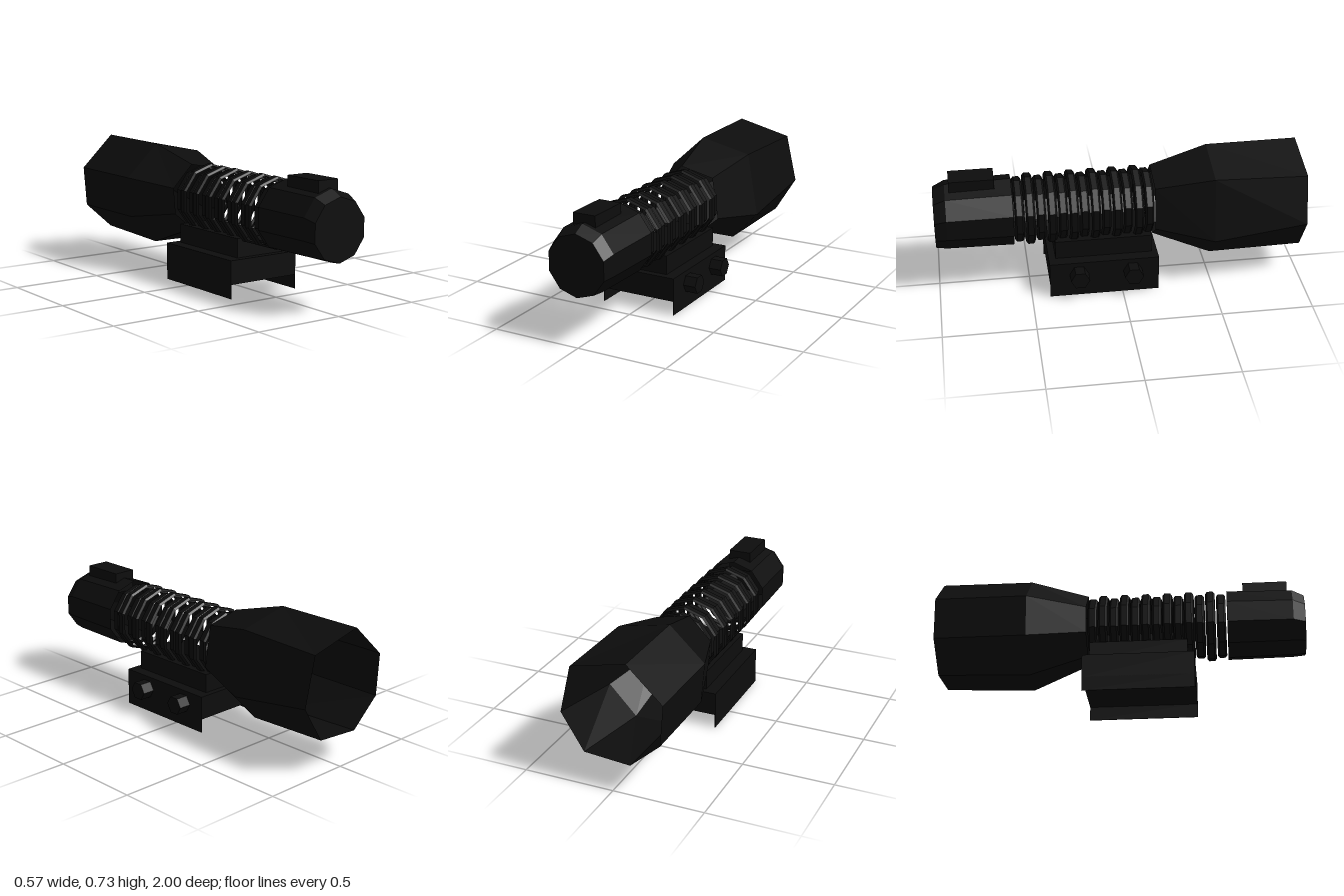
import * as THREE from 'three';

const black = new THREE.MeshStandardMaterial({ color: 0x0d0d0d, flatShading: true, side: THREE.DoubleSide });
black.name = 'black';

// Regular cross-section in the xy plane
function ring(radius, cy, z, sides = 10, turn = Math.PI / 2) {
  return Array.from({ length: sides }, (_, i) => {
    const a = turn + (i / sides) * Math.PI * 2;
    return [Math.cos(a) * radius, cy + Math.sin(a) * radius, z];
  });
}

// Join successive cross-sections (front to back), optionally closing the first
function loft(rings, capFront = false) {
  const n = rings[0].length;
  const index = [];
  for (let r = 0; r < rings.length - 1; r++) {
    for (let i = 0; i < n; i++) {
      const a = r * n + i, b = r * n + (i + 1) % n;
      index.push(a, a + n, b, b, a + n, b + n);
    }
  }
  if (capFront) for (let i = 1; i < n - 1; i++) index.push(0, i, i + 1);
  const g = new THREE.BufferGeometry();
  g.setAttribute('position', new THREE.Float32BufferAttribute(rings.flat(2), 3));
  g.setIndex(index);
  g.computeVertexNormals();
  return g;
}

export function createModel() {
  const model = new THREE.Group();
  model.name = 'weaponLight';

  const add = (name, geometry, x = 0, y = 0, z = 0) => {
    const m = new THREE.Mesh(geometry, black);
    m.name = name;
    m.position.set(x, y, z);
    model.add(m);
    return m;
  };
  // Box given by its limits
  const box = (name, x0, x1, y0, y1, z0, z1) =>
    add(name, new THREE.BoxGeometry(x1 - x0, y1 - y0, z1 - z0),
      (x0 + x1) / 2, (y0 + y1) / 2, (z0 + z1) / 2);

  // Closed end cap with a bevelled nose
  add('endCap', loft([
    ring(0.167, 0.435, 1), ring(0.186, 0.449, 0.935), ring(0.192, 0.451, 0.58),
  ], true));
  box('switchButton', -0.068, 0.06, 0.56, 0.677, 0.67, 0.912);

  // Ribbed grip: alternating wide and narrow bands with thin gaps
  const pitch = 0.0585;
  for (let i = 0; i < 13; i++) {
    const z0 = 0.573 - i * pitch, z1 = z0 - pitch + 0.008;
    const wide = i % 2 === 1;
    const r = wide ? 0.195 : 0.178;
    add('gripBand', loft([
      ring(r - 0.012, 0.45, z0), ring(r, 0.45, z0 - 0.01),
      ring(r, 0.45, z1 + 0.01), ring(r - 0.012, 0.45, z1),
    ]));
  }

  // Open seven-sided bell
  const middle = [[0.2, 0.66], [-0.09, 0.722], [-0.285, 0.54], [-0.265, 0.315], [-0.1, 0.152], [0.11, 0.15], [0.262, 0.31]];
  const rim = [[0.217, 0.655], [-0.088, 0.726], [-0.282, 0.542], [-0.264, 0.316], [-0.1, 0.17], [0.155, 0.19], [0.279, 0.39]];
  const neck = middle.map(([x, y]) => {
    const a = Math.atan2(y - 0.45, x);
    return [Math.cos(a) * 0.192, 0.452 + Math.sin(a) * 0.192, -0.185];
  });
  add('bell', loft([neck, middle.map(p => [...p, -0.5]), rim.map(p => [...p, -1])]));

  // Rail mount: riser, clamp plate and thin side skirts
  box('mountRiser', -0.152, 0.148, 0.2, 0.31, -0.168, 0.362);
  box('clampPlate', -0.22, 0.211, 0.077, 0.206, -0.2, 0.4);
  box('rightSkirt', -0.22, -0.216, 0, 0.08, -0.2, 0.4);
  box('leftSkirt', 0.207, 0.211, 0, 0.08, -0.2, 0.4);

  // Hexagonal clamp bolts
  for (const z of [-0.055, 0.24]) {
    const bolt = add('clampBolt', new THREE.CylinderGeometry(0.052, 0.052, 0.07, 6), 0.246, 0.135, z);
    bolt.rotation.z = Math.PI / 2;
  }
  return model;
}
